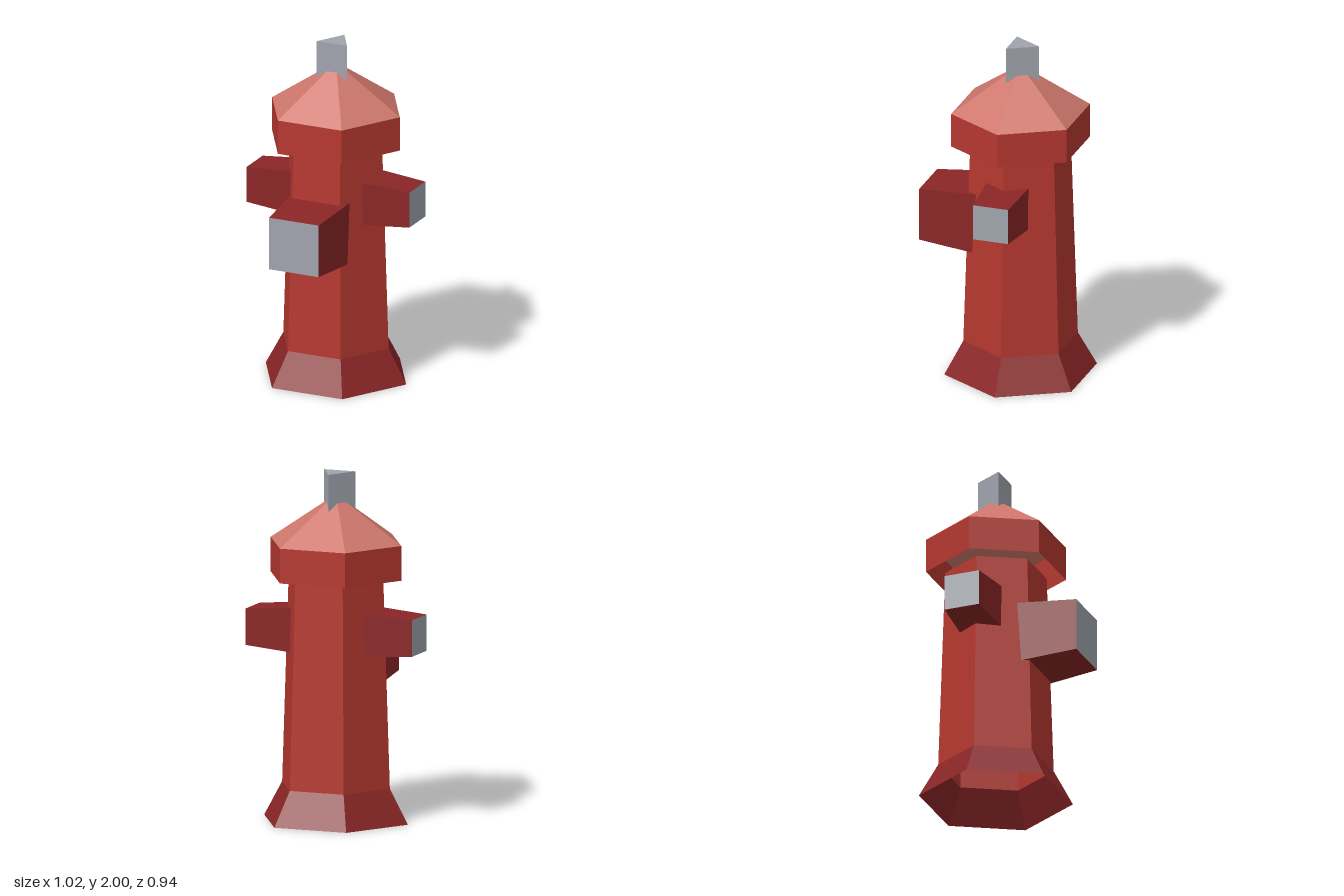
import * as THREE from 'three';

const paint = (name, color) => {
  const m = new THREE.MeshStandardMaterial({ color, flatShading: true, side: THREE.DoubleSide });
  m.name = name;
  return m;
};

export function createModel() {
  const red = paint('red', 0xb5382f);
  const maroon = paint('maroon', 0x8a2526);
  const salmon = paint('salmon', 0xcd766c);
  const steel = paint('steel', 0xa0a4ad);

  const model = new THREE.Group();
  model.name = 'hydrant';
  const axisZ = -0.085; // the column stands slightly behind the centre

  // Open six-sided ring with corners on the x axis
  const hexRing = (name, material, rTop, rBottom, y0, y1, open = true) => {
    const geo = new THREE.CylinderGeometry(rTop, rBottom, y1 - y0, 6, 1, open, Math.PI / 2);
    const mesh = new THREE.Mesh(geo, material);
    mesh.name = name;
    mesh.position.set(0, (y0 + y1) / 2, axisZ);
    model.add(mesh);
    return mesh;
  };

  // Column: flared skirt, tapered body, cap band and sloping roof
  hexRing('baseSkirt', maroon, 0.33, 0.44, 0, 0.2);
  hexRing('body', red, 0.29, 0.33, 0.2, 1.4);
  hexRing('capBand', red, 0.4, 0.4, 1.4, 1.6);
  hexRing('capRoof', salmon, 0.04, 0.4, 1.6, 1.845);

  // Triangular bolt on top, one corner to the back
  const bolt = new THREE.Mesh(new THREE.CylinderGeometry(0.11, 0.11, 0.21, 3, 1, false, Math.PI), steel);
  bolt.name = 'topBolt';
  bolt.position.set(0, 1.895, axisZ);
  model.add(bolt);

  // Square tapered outlet along +z with a steel end face
  const outlet = (name, halfEnd, halfRoot, length) => {
    const geo = new THREE.CylinderGeometry(
      halfEnd * Math.SQRT2, halfRoot * Math.SQRT2, length, 4, 1, false, Math.PI / 4);
    geo.rotateX(Math.PI / 2);
    geo.translate(0, 0, length / 2);
    const mesh = new THREE.Mesh(geo, [maroon, steel, maroon]);
    mesh.name = name;
    model.add(mesh);
    return mesh;
  };

  outlet('frontOutlet', 0.155, 0.187, 0.42).position.set(0, 0.935, 0.05);
  for (const [name, side] of [['leftOutlet', 1], ['rightOutlet', -1]]) {
    const arm = outlet(name, 0.105, 0.131, 0.36);
    arm.rotation.y = side * Math.PI / 2;
    arm.position.set(side * 0.15, 1.092, axisZ);
  }

  return model;
}
